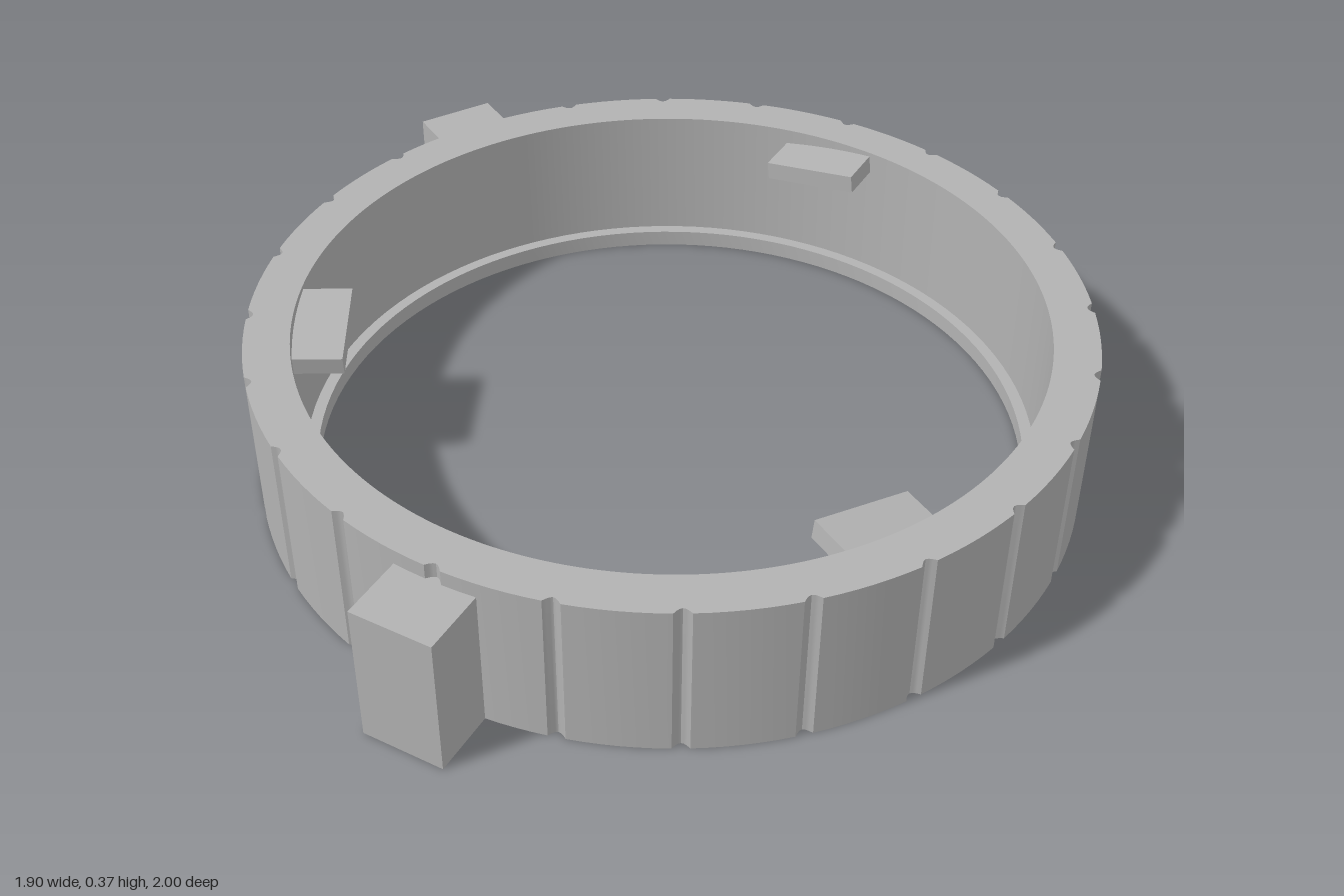
import * as THREE from 'three';
import { toCreasedNormals } from 'three/addons/utils/BufferGeometryUtils.js';

const OUTER = 0.928, INNER = 0.827, LIP = 0.8, HEIGHT = 0.365;
const GROOVES = 24, GROOVE_WIDTH = 0.039, GROOVE_DEPTH = 0.014;

// Outer outline: smooth arcs interrupted by small rounded grooves
function groovedOutline() {
  const points = [];
  const add = (a, r) => points.push(new THREE.Vector2(r * Math.cos(a), r * Math.sin(a)));
  const pitch = (Math.PI * 2) / GROOVES;
  for (let i = 0; i < GROOVES; i++) {
    const mid = i * pitch;
    for (let k = 0; k <= 6; k++) {
      add(mid + (k / 6 - 0.5) * GROOVE_WIDTH, OUTER - GROOVE_DEPTH * Math.sin((Math.PI * k) / 6));
    }
    for (let k = 1; k < 6; k++) {
      add(mid + GROOVE_WIDTH / 2 + (k / 6) * (pitch - GROOVE_WIDTH), OUTER);
    }
  }
  return points;
}

export function createModel() {
  const model = new THREE.Group();
  const ring = new THREE.Group();
  ring.name = 'lockingRing';
  ring.position.set(0.02, 0, 0.07);
  model.add(ring);

  const grey = new THREE.MeshStandardMaterial({ color: 0xb2b2b2 });
  grey.name = 'grey';

  const addPart = (name, geometry, parent = ring) => {
    const mesh = new THREE.Mesh(geometry, grey);
    mesh.name = name;
    parent.add(mesh);
    return mesh;
  };

  // Main wall with vertical grip grooves
  const shape = new THREE.Shape(groovedOutline());
  shape.holes.push(new THREE.Path().absarc(0, 0, INNER, 0, Math.PI * 2, true));
  const wall = new THREE.ExtrudeGeometry(shape, { depth: HEIGHT, bevelEnabled: false, curveSegments: 120 });
  wall.rotateX(-Math.PI / 2);
  addPart('groovedWall', toCreasedNormals(wall, 0.6));

  // Narrow inner lip at the bottom
  const lipProfile = [[INNER, 0.04], [LIP, 0.04], [LIP, 0], [INNER, 0]].map(p => new THREE.Vector2(...p));
  addPart('innerLip', toCreasedNormals(new THREE.LatheGeometry(lipProfile, 120), 0.6));

  // A pivot turned around the ring axis; its +z points outward
  const pivot = (name, angle) => {
    const group = new THREE.Group();
    group.name = name;
    group.rotation.y = angle;
    ring.add(group);
    return group;
  };

  // Two outer grip blocks, at the back and at the front right
  for (const angle of [Math.PI, -Math.PI / 3]) {
    const block = addPart('gripBlock', new THREE.BoxGeometry(0.186, 0.33, 0.17), pivot('gripBlockMount', angle));
    block.position.set(0, 0.165, 1.07 - 0.085);
  }

  // Three inner bayonet tabs, each slightly ramped
  for (let i = 0; i < 3; i++) {
    const tab = addPart('bayonetTab', new THREE.BoxGeometry(0.226, 0.043, 0.14),
      pivot('bayonetTabMount', (i * Math.PI * 2) / 3));
    tab.position.set(0, 0.32, 0.71 + 0.07);
    tab.rotation.z = -0.12;
  }

  return model;
}
